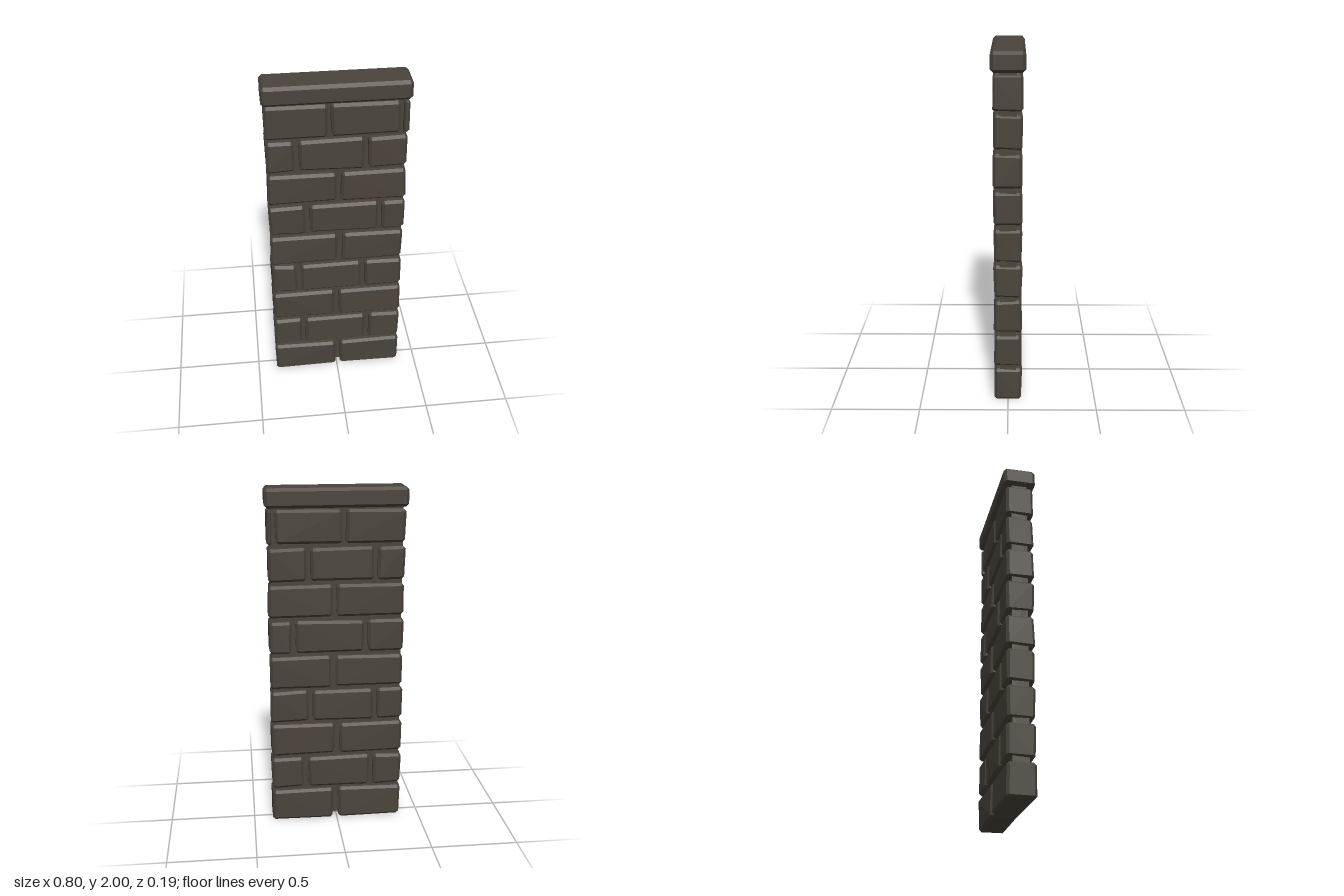
import * as THREE from 'three';
import { ConvexGeometry } from 'three/addons/geometries/ConvexGeometry.js';

// Small seeded generator for the uneven corners of the stones
let seed = 7;
function jitter(amount) {
  seed = (seed * 16807) % 2147483647;
  return (seed / 2147483647 - 0.5) * 2 * amount;
}

// Box with chamfered edges whose eight corners may be slightly displaced
function chamferedBlock(min, max, chamfer, uneven) {
  const points = [];
  for (const sx of [-1, 1]) for (const sy of [-1, 1]) for (const sz of [-1, 1]) {
    const s = [sx, sy, sz];
    const corner = s.map((v, i) => (v > 0 ? max[i] : min[i]) - v * Math.abs(jitter(uneven)));
    for (let axis = 0; axis < 3; axis++) {
      const p = corner.map((v, i) => (i === axis ? v : v - s[i] * chamfer));
      points.push(new THREE.Vector3(...p));
    }
  }
  return new ConvexGeometry(points);
}

export function createModel() {
  seed = 7;
  const group = new THREE.Group();
  const stone = new THREE.MeshStandardMaterial({ color: 0x4a443b });
  stone.name = 'dark stone';

  const add = (name, geometry) => {
    const mesh = new THREE.Mesh(geometry, stone);
    mesh.name = name;
    group.add(mesh);
    return mesh;
  };

  // Recessed mortar core
  add('mortarCore', new THREE.BoxGeometry(0.752, 1.89, 0.092)).position.set(0, 0.975, 0);

  // Left and right edge of every stone, course by course from the ground up
  const courses = [
    [[-0.39, -0.005], [0.018, 0.39]],
    [[-0.39, -0.215], [-0.2, 0.175], [0.193, 0.39]],
    [[-0.39, -0.012], [0.008, 0.39]],
    [[-0.39, -0.235], [-0.22, 0.148], [0.163, 0.39]],
    [[-0.39, 0.008], [0.03, 0.388]],
    [[-0.39, -0.178], [-0.16, 0.242], [0.255, 0.39]],
    [[-0.39, 0.005], [0.02, 0.39]],
    [[-0.39, -0.228], [-0.213, 0.152], [0.167, 0.39]],
    [[-0.39, -0.048], [-0.035, 0.345], [0.355, 0.392]],
  ];
  courses.forEach((stones, row) => {
    const y = 0.003 + row * 0.2103;
    const bottom = row === 0 ? 0 : y;
    stones.forEach(([x0, x1], i) => {
      const chamfer = Math.min(0.015, (x1 - x0) / 4);
      add(`course${row + 1}Stone${i + 1}`,
        chamferedBlock([x0, bottom, -0.081], [x1, y + 0.196, 0.084], chamfer, 0.008));
    });
  });

  // Overhanging cap slab
  add('capStone', chamferedBlock([-0.4, 1.89, -0.094], [0.4, 2, 0.094], 0.017, 0));

  return group;
}
